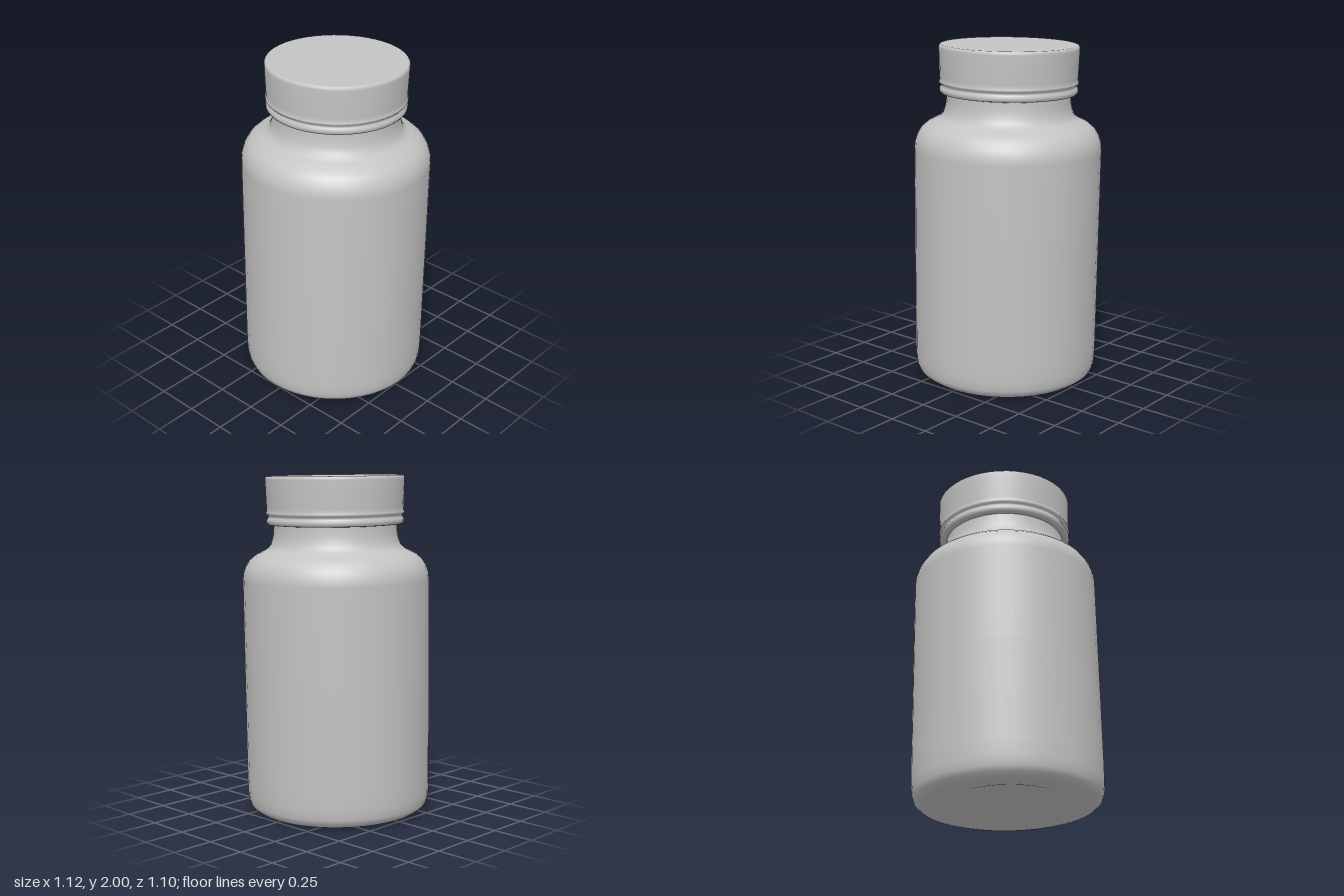
import * as THREE from 'three';

export function createModel() {
  const grey = new THREE.MeshStandardMaterial({ color: 0xc4c4c4 });
  grey.name = 'light grey plastic';

  // Profile of [radius, height] pairs, listed from the bottom up
  const lathe = (name, profile) => {
    const points = profile.map(([r, y]) => new THREE.Vector2(r, y));
    const mesh = new THREE.Mesh(new THREE.LatheGeometry(points, 48), grey);
    mesh.name = name;
    return mesh;
  };

  // Jar with a recessed base, rounded foot and shoulder, and a narrower neck
  const body = lathe('bottleBody', [
    [0, 0.035], [0.24, 0.035], [0.29, 0.03], [0.36, 0.01], [0.41, 0.002], [0.47, 0.002],
    [0.505, 0.01], [0.53, 0.03], [0.542, 0.06], [0.547, 0.11], [0.549, 0.2],
    [0.55, 0.8], [0.55, 1.38], [0.546, 1.42], [0.532, 1.46], [0.51, 1.495],
    [0.475, 1.525], [0.43, 1.548], [0.402, 1.563], [0.383, 1.585], [0.373, 1.615],
    [0.365, 1.65], [0.362, 1.7], [0.362, 1.74],
  ]);

  // Screw cap with a tamper ring bead, a fine groove and a crisp top rim
  const cap = lathe('cap', [
    [0.345, 1.708], [0.385, 1.703], [0.396, 1.706], [0.403, 1.716], [0.404, 1.73],
    [0.398, 1.742], [0.392, 1.75], [0.398, 1.758], [0.407, 1.766], [0.406, 1.775],
    [0.402, 1.784], [0.403, 1.8], [0.407, 1.9], [0.409, 1.965], [0.408, 1.976],
    [0.402, 1.983], [0.396, 1.985], [0.39, 1.985], [0, 1.985],
  ]);

  // The whole bottle leans very slightly to one side
  const bottle = new THREE.Group();
  bottle.name = 'bottle';
  bottle.add(body, cap);
  bottle.rotation.z = -0.0165;
  bottle.position.set(-0.012, 0.007, 0);

  const model = new THREE.Group();
  model.name = 'pillBottle';
  model.add(bottle);
  return model;
}
